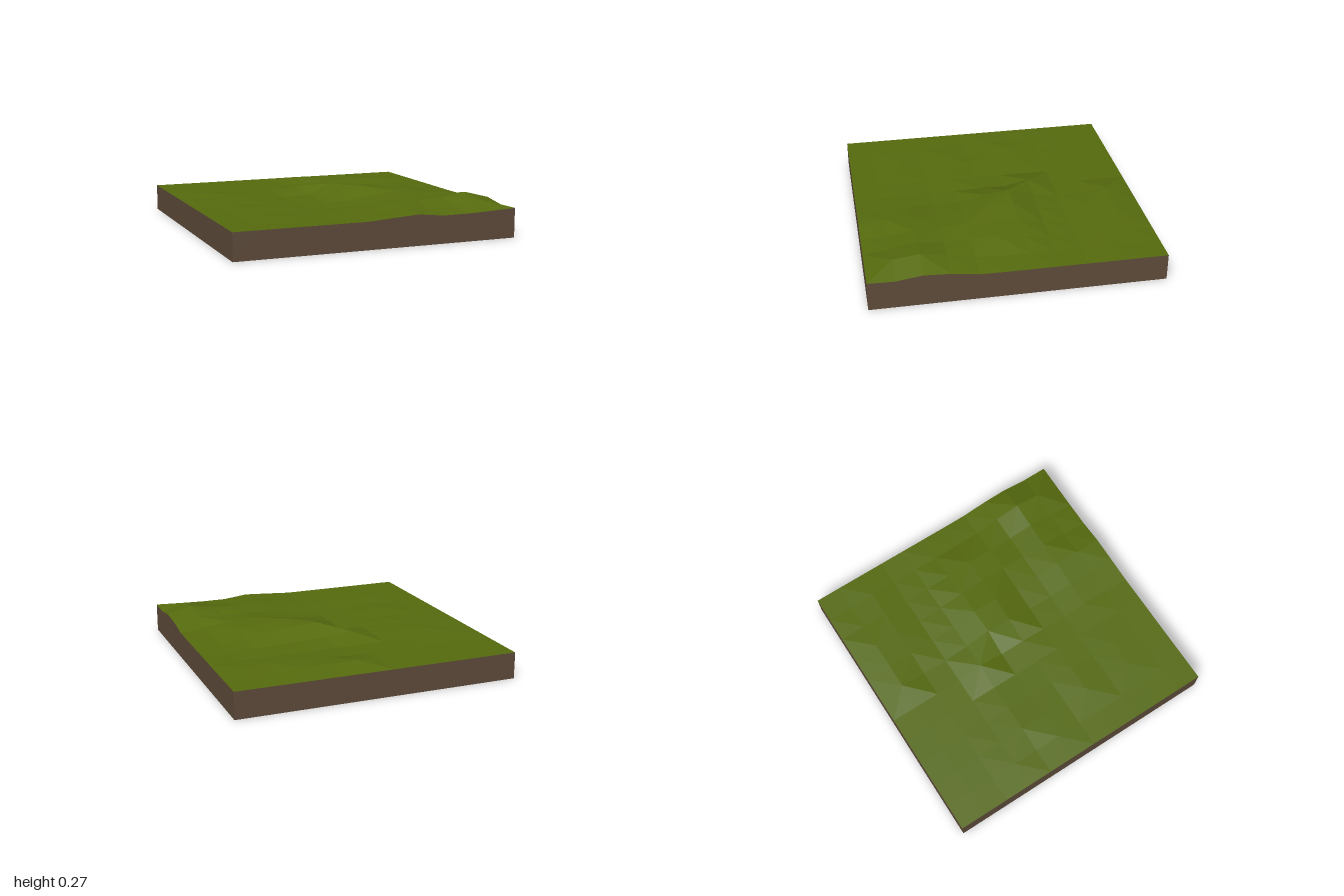
import * as THREE from 'three';

const CELLS = 11, STEP = 2 / CELLS, BASE = 0.187;

// Raised ground: for each grid row, the first raised column and the heights above the base in thousandths
const RAISED = {
  1: [6, [30, 26, 24, 8]],
  2: [7, [14, 18, 18, 10]],
  3: [1, [8, 4]],
  4: [2, [13, 8, 3, 48, 26, 18, 10, 4]],
  5: [1, [8, 8, 4, 2, 8, 81, 73, 48, 25, 6]],
  6: [3, [3, 2, 13, 58, 81, 58, 48, 8]],
  7: [2, [12, 8, 4, 4, 13, 38, 58, 48, 18, 3]],
  8: [6, [8, 28, 43, 40, 50, 28]],
  9: [2, [5, 3, 0, 4, 16, 36, 46, 58, 85, 38]],
  10: [6, [12, 32, 18, 28, 62, 13]],
  11: [6, [12, 23, 3, 4, 10, 18]],
};

function point(col, row) {
  const [first, heights] = RAISED[row] ?? [0, []];
  const y = BASE + (heights[col - first] ?? 0) / 1000;
  return [col * STEP - 1, y, row * STEP - 1];
}

const ground = (p) => [p[0], 0, p[2]];

function makeMesh(name, triangles, material) {
  const geometry = new THREE.BufferGeometry();
  geometry.setAttribute('position', new THREE.Float32BufferAttribute(triangles.flat(2), 3));
  geometry.computeVertexNormals(); // unshared corners give flat facets
  const mesh = new THREE.Mesh(geometry, material);
  mesh.name = name;
  return mesh;
}

export function createModel() {
  const grass = new THREE.MeshStandardMaterial({ color: 0x566b0e });
  grass.name = 'grass green';
  const soil = new THREE.MeshStandardMaterial({ color: 0x5f4c3b });
  soil.name = 'soil brown';

  // Grass surface: each cell folds along its higher diagonal, making ridges
  const turf = [];
  for (let row = 0; row < CELLS; row++) {
    for (let col = 0; col < CELLS; col++) {
      const a = point(col, row), b = point(col + 1, row);
      const c = point(col + 1, row + 1), d = point(col, row + 1);
      if (a[1] + c[1] >= b[1] + d[1]) turf.push([a, d, c], [a, c, b]);
      else turf.push([a, d, b], [b, d, c]);
    }
  }

  // Soil walls: quads from the edge of the grass down to the ground
  const walls = [];
  const addWall = (p, q) => walls.push([ground(p), ground(q), q], [ground(p), q, p]);
  for (let i = 0; i < CELLS; i++) {
    addWall(point(i, CELLS), point(i + 1, CELLS)); // front
    addWall(point(i + 1, 0), point(i, 0)); // back
    addWall(point(CELLS, i + 1), point(CELLS, i)); // left
    addWall(point(0, i), point(0, i + 1)); // right
  }

  // Flat underside
  const [a, b, c, d] = [[-1, 0, -1], [1, 0, -1], [1, 0, 1], [-1, 0, 1]];
  const underside = [[a, b, c], [a, c, d]];

  const model = new THREE.Group();
  model.name = 'terrainTile';
  model.add(
    makeMesh('grassSurface', turf, grass),
    makeMesh('soilWalls', walls, soil),
    makeMesh('soilUnderside', underside, soil),
  );
  return model;
}
